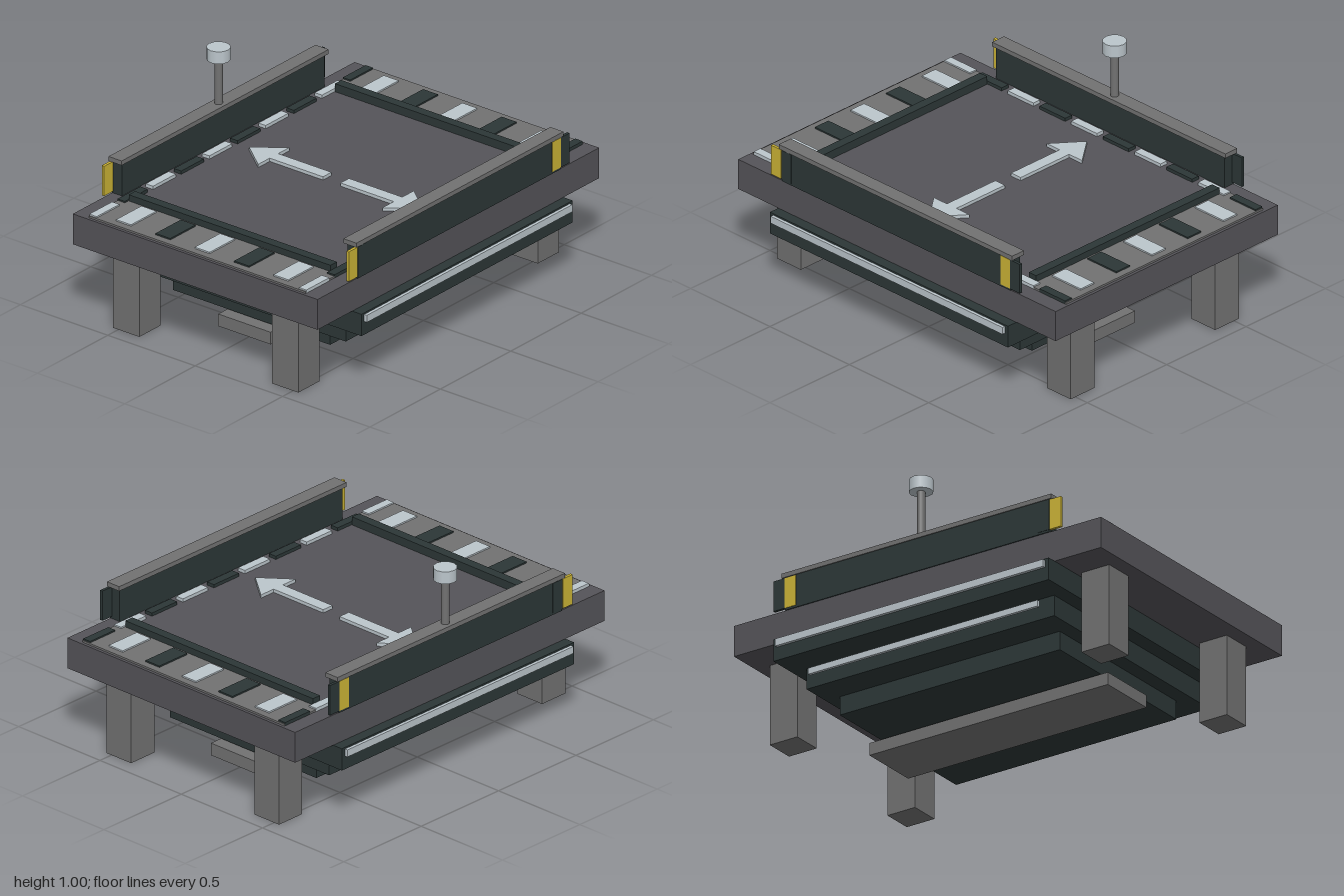
import * as THREE from 'three';

const mat = (name, color) => {
  const m = new THREE.MeshStandardMaterial({ color });
  m.name = name;
  return m;
};

export function createModel() {
  const deckGrey = mat('deck grey', 0x555459);
  const grey = mat('mid grey', 0x727272);
  const dark = mat('dark green grey', 0x2c3737);
  const light = mat('pale blue grey', 0xbcc6cc);
  const yellow = mat('warning yellow', 0xccb436);

  const model = new THREE.Group();
  model.name = 'platform';

  const add = (name, geo, material, x, y, z) => {
    const mesh = new THREE.Mesh(geo, material);
    mesh.name = name;
    mesh.position.set(x, y, z);
    model.add(mesh);
    return mesh;
  };
  // box centred on x and z, spanning y0 to y1
  const box = (name, material, w, d, y0, y1, x = 0, z = 0) =>
    add(name, new THREE.BoxGeometry(w, y1 - y0, d), material, x, (y0 + y1) / 2, z);

  // deck and stepped underside
  box('deck', deckGrey, 2, 1.4, 0.39, 0.54);
  box('upperStage', dark, 1.5, 1.5, 0.28, 0.388);
  box('middleStage', dark, 1.35, 1.2, 0.18, 0.28);
  box('lowerStage', dark, 1.2, 0.9, 0.09, 0.18);
  box('skid', grey, 1.3, 0.3, 0.02, 0.08);

  // legs
  for (const sx of [-1, 1])
    for (const sz of [-1, 1])
      box('leg', grey, 0.15, 0.15, 0, 0.39, sx * 0.85, sz * 0.455);

  for (const s of [-1, 1]) {
    // light strips below the deck
    box('upperLightStrip', light, 1.46, 0.02, 0.345, 0.38, 0, s * 0.755);
    box('lowerLightStrip', light, 1.25, 0.015, 0.218, 0.248, 0, s * 0.652);

    // end walls with caps and hazard panels
    box('wall', dark, 1.44, 0.06, 0.54, 0.7, 0, s * 0.675);
    box('wallCap', grey, 1.47, 0.075, 0.7, 0.722, 0, s * 0.672);
    [[-0.755, yellow], [-0.69, dark], [0.69, yellow], [0.75, dark]].forEach(([x, m]) =>
      box('hazardPanel', m, 0.062, 0.014, 0.55, 0.697, x, s * 0.7));

    // dashed line beside each wall
    for (let i = 0; i < 10; i++)
      box('edgeDash', i % 2 ? dark : light, 0.162, 0.042, 0.54, 0.556, -0.9 + i * 0.2, s * 0.6);

    // side aprons with cross stripes, and inner rails
    box('apron', grey, 0.235, 1.24, 0.54, 0.549, s * 0.868, 0);
    for (let i = -2; i <= 2; i++)
      box('apronStripe', i % 2 ? dark : light, 0.18, 0.085, 0.549, 0.556, s * 0.86, i * 0.225);
    box('sideRail', dark, 0.046, 1.155, 0.54, 0.58, s * 0.732, 0);
  }

  // direction arrows on the deck
  const arrow = new THREE.Shape([
    [-0.03, 0.05], [0.03, 0.05], [0.03, 0.355], [0.112, 0.355],
    [0, 0.497], [-0.112, 0.355], [-0.03, 0.355],
  ].map(([x, y]) => new THREE.Vector2(x, y)));
  const arrowGeo = new THREE.ExtrudeGeometry(arrow, { depth: 0.016, bevelEnabled: false });
  arrowGeo.rotateX(-Math.PI / 2);
  add('backArrow', arrowGeo, light, 0, 0.54, 0);
  add('frontArrow', arrowGeo, light, 0, 0.54, 0).rotation.y = Math.PI;

  // post with a lamp head
  add('post', new THREE.CylinderGeometry(0.019, 0.019, 0.22, 12), grey, 0, 0.83, -0.672);
  add('lampHead', new THREE.CylinderGeometry(0.055, 0.055, 0.06, 12), light, 0, 0.97, -0.672);

  return model;
}
